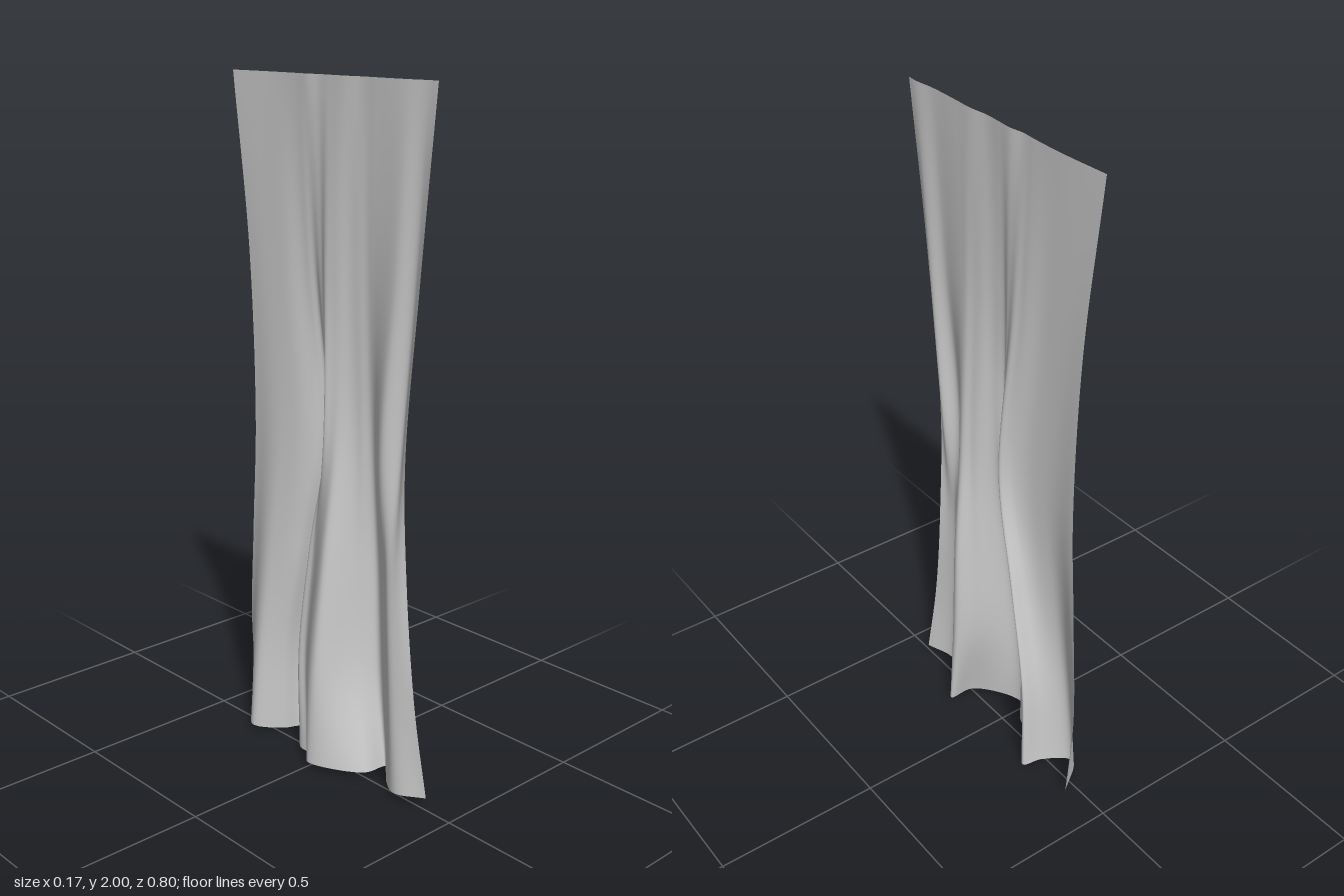
import * as THREE from 'three';

// Cross-sections of the hanging cloth, from the +z edge to the -z edge, as [z, x]
const hem = [[0.402, 0.008], [0.31, -0.026], [0.235, 0.016], [0.168, 0.08], [0.157, 0.002], [0.006, -0.084],
  [-0.045, -0.038], [-0.1, -0.022], [-0.2, 0.071], [-0.222, 0.014], [-0.29, -0.052], [-0.385, 0.053]];
const hemHeights = [0.032, 0.022, 0.014, 0.01, 0.014, 0.018, 0.012, 0.006, 0.002, 0.008, 0.018, 0.03];
const low = [[0.365, -0.005], [0.29, -0.024], [0.225, 0.02], [0.135, 0.08], [0.095, 0.018], [0.02, -0.077],
  [-0.1, 0.004], [-0.14, 0.01], [-0.19, 0.069], [-0.207, 0.014], [-0.27, -0.036], [-0.387, 0.032]];
const knee = [[0.325, -0.004], [0.275, -0.018], [0.225, 0.006], [0.13, 0.072], [0.09, 0.03], [0.03, -0.044],
  [-0.06, 0.006], [-0.088, 0.01], [-0.125, 0.062], [-0.142, 0.02], [-0.23, -0.018], [-0.357, 0.018]];
const middle = [[0.318, -0.012], [0.285, 0.004], [0.23, -0.018], [0.145, 0.042], [0.1, 0.03], [0.04, -0.006],
  [0.0, -0.014], [-0.022, 0.012], [-0.053, 0.05], [-0.085, 0.026], [-0.19, -0.002], [-0.33, 0.01]];
const high = [[0.362, -0.012], [0.33, 0.006], [0.265, -0.006], [0.165, 0.014], [0.11, 0.013], [0.05, 0.002],
  [0.0, -0.004], [-0.04, 0.012], [-0.08, 0.023], [-0.12, 0.018], [-0.21, 0.006], [-0.345, 0.009]];
const rail = high.map(([z], i) => [z > 0 ? z * 1.085 : z * 1.165, 0.009 + 0.003 * Math.sin(i * 2.1)]);

const ROWS = 70, COLS = 130;

function drapeGeometry() {
  const levels = [[rail, 2], [high, 1.5], [middle, 1], [knee, 0.65], [low, 0.3]];

  // One vertical curve down each fold line, ending at the uneven hem
  const folds = hem.map(([z, x], i) => new THREE.CatmullRomCurve3([
    ...levels.map(([section, y]) => new THREE.Vector3(section[i][1], y, section[i][0])),
    new THREE.Vector3(x, hemHeights[i], z),
  ]));

  // Sweep a smooth crosswise curve through the fold lines, row by row
  const positions = [], uvs = [], indices = [];
  for (let r = 0; r <= ROWS; r++) {
    const v = r / ROWS;
    const across = new THREE.CatmullRomCurve3(folds.map((fold) => fold.getPoint(v)));
    for (let c = 0; c <= COLS; c++) {
      const u = c / COLS, p = across.getPoint(u);
      // Fine creases, strongest at mid height
      const crease = 0.0015 * Math.sin(Math.PI * v) * Math.sin(u * 62 + v * 5);
      positions.push(p.x + crease, p.y, p.z);
      uvs.push(u, 1 - v);
      if (r < ROWS && c < COLS) {
        const a = r * (COLS + 1) + c, b = a + COLS + 1;
        indices.push(a, b, a + 1, b, b + 1, a + 1);
      }
    }
  }
  const geometry = new THREE.BufferGeometry();
  geometry.setAttribute('position', new THREE.Float32BufferAttribute(positions, 3));
  geometry.setAttribute('uv', new THREE.Float32BufferAttribute(uvs, 2));
  geometry.setIndex(indices);
  geometry.computeVertexNormals();
  return geometry;
}

export function createModel() {
  const group = new THREE.Group();
  group.name = 'curtain';
  const cloth = new THREE.Mesh(drapeGeometry(),
    new THREE.MeshStandardMaterial({ color: 0xcccccc, side: THREE.DoubleSide }));
  cloth.name = 'drapedCloth';
  group.add(cloth);
  return group;
}
